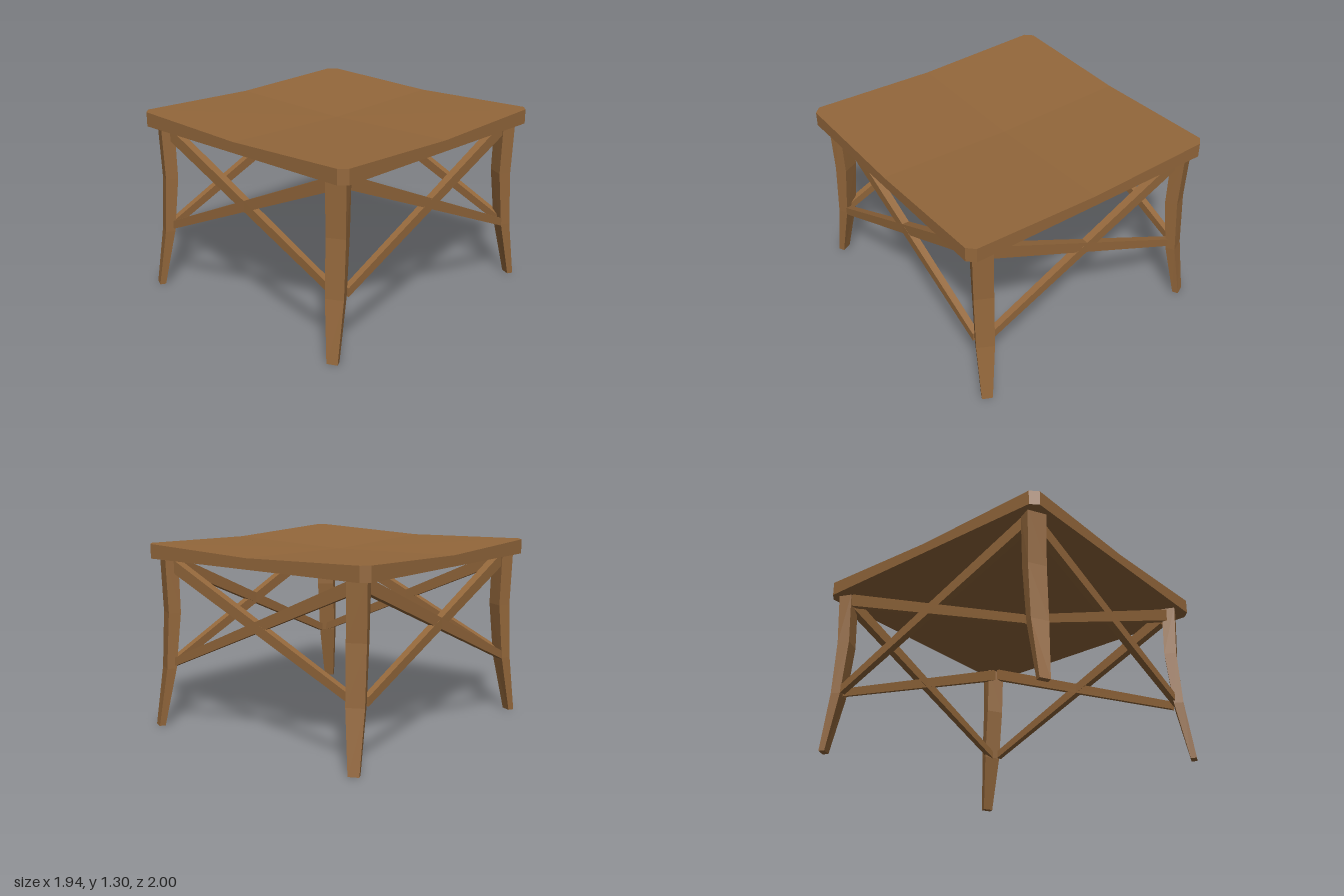
import * as THREE from 'three';

// Closed flat-faced solid through equal-length rings of [x, y, z] points.
function loft(rings, endCentre) {
  const tris = [];
  const n = rings[0].length;
  const centre = (r) => [0, 1, 2].map((k) => r.reduce((s, p) => s + p[k], 0) / n);
  const first = rings[0], last = rings[rings.length - 1];
  const c0 = centre(first), c1 = endCentre || centre(last);
  for (let i = 0; i < n; i++) {
    const j = (i + 1) % n;
    for (let k = 0; k + 1 < rings.length; k++) {
      const a = rings[k], b = rings[k + 1];
      tris.push([a[i], a[j], b[j]], [a[i], b[j], b[i]]);
    }
    tris.push([c0, first[j], first[i]], [c1, last[i], last[j]]);
  }
  // Turn the faces outward when the rings run the other way (mirrored parts)
  let volume = 0;
  for (const [a, b, c] of tris) {
    volume += new THREE.Vector3(...a).dot(new THREE.Vector3(...b).cross(new THREE.Vector3(...c)));
  }
  if (volume < 0) tris.forEach((t) => t.reverse());
  const geo = new THREE.BufferGeometry();
  geo.setAttribute('position', new THREE.Float32BufferAttribute(tris.flat(2), 3));
  geo.computeVertexNormals();
  return geo;
}

export function createModel() {
  const stool = new THREE.Group();
  stool.name = 'stool';
  const wood = new THREE.MeshStandardMaterial({ color: 0x93673b });
  wood.name = 'brown wood';

  const add = (parent, name, geo) => {
    const mesh = new THREE.Mesh(geo, wood);
    mesh.name = name;
    parent.add(mesh);
  };

  // Seat: square with clipped corners, top dished toward the middle
  const outline = [
    [0.97, 0], [0.97, 0.92], [0.92, 0.97], [0, 0.97], [-0.92, 0.97], [-0.97, 0.92],
    [-0.97, 0], [-0.97, -0.92], [-0.92, -0.97], [0, -0.97], [0.92, -0.97], [0.97, -0.92],
  ];
  const seatZ = 0.01;
  add(stool, 'seat', loft([
    outline.map(([x, z]) => [x, 1.2, z + seatZ]),
    outline.map(([x, z]) => [x, x === 0 || z === 0 ? 1.275 : 1.303, z + seatZ]),
  ], [0, 1.25, seatZ]));

  const frame = new THREE.Group();
  frame.name = 'frame';
  frame.position.x = -0.01;
  stool.add(frame);

  // Legs: turned tapering sections, [y, outer face corners, step to inner face]
  const sections = [
    [0, [0.855, 1.0], [0.922, 0.968], [-0.02, -0.038]],
    [0.42, [0.803, 0.957], [0.912, 0.9], [-0.033, -0.06]],
    [0.82, [0.79, 0.936], [0.907, 0.877], [-0.04, -0.077]],
    [1.21, [0.798, 0.946], [0.917, 0.887], [-0.038, -0.087]],
  ];
  for (const sx of [1, -1]) {
    for (const sz of [1, -1]) {
      const rings = sections.map(([y, a, b, d]) =>
        [a, b, [b[0] + d[0], b[1] + d[1]], [a[0] + d[0], a[1] + d[1]]]
          .map(([x, z]) => [sx * x, y, sz * z]));
      add(frame, (sz > 0 ? 'front' : 'back') + (sx > 0 ? 'Left' : 'Right') + 'Leg', loft(rings));
    }
  }

  // Crossed braces: two tapering bars on each side, lower end slightly further out
  const brace = (dir, out, alongX) => {
    const end = (u, top, bottom, off, half) =>
      [[top, off - half], [top, off + half], [bottom, off + half], [bottom, off - half]]
        .map(([y, w]) => (alongX ? [u, y, out * w] : [out * w, y, u]));
    const shift = alongX ? 0 : -0.02;
    return loft([
      end(-dir * 0.81, 1.21, 1.115, 0.86 + shift, 0.03),
      end(dir * 0.83, 0.475, 0.415, 0.885 + shift, 0.022),
    ]);
  };
  const sides = [['front', 1, true], ['back', -1, true], ['left', 1, false], ['right', -1, false]];
  for (const [side, out, alongX] of sides) {
    for (const dir of [1, -1]) add(frame, side + 'Brace', brace(dir, out, alongX));
  }
  return stool;
}
